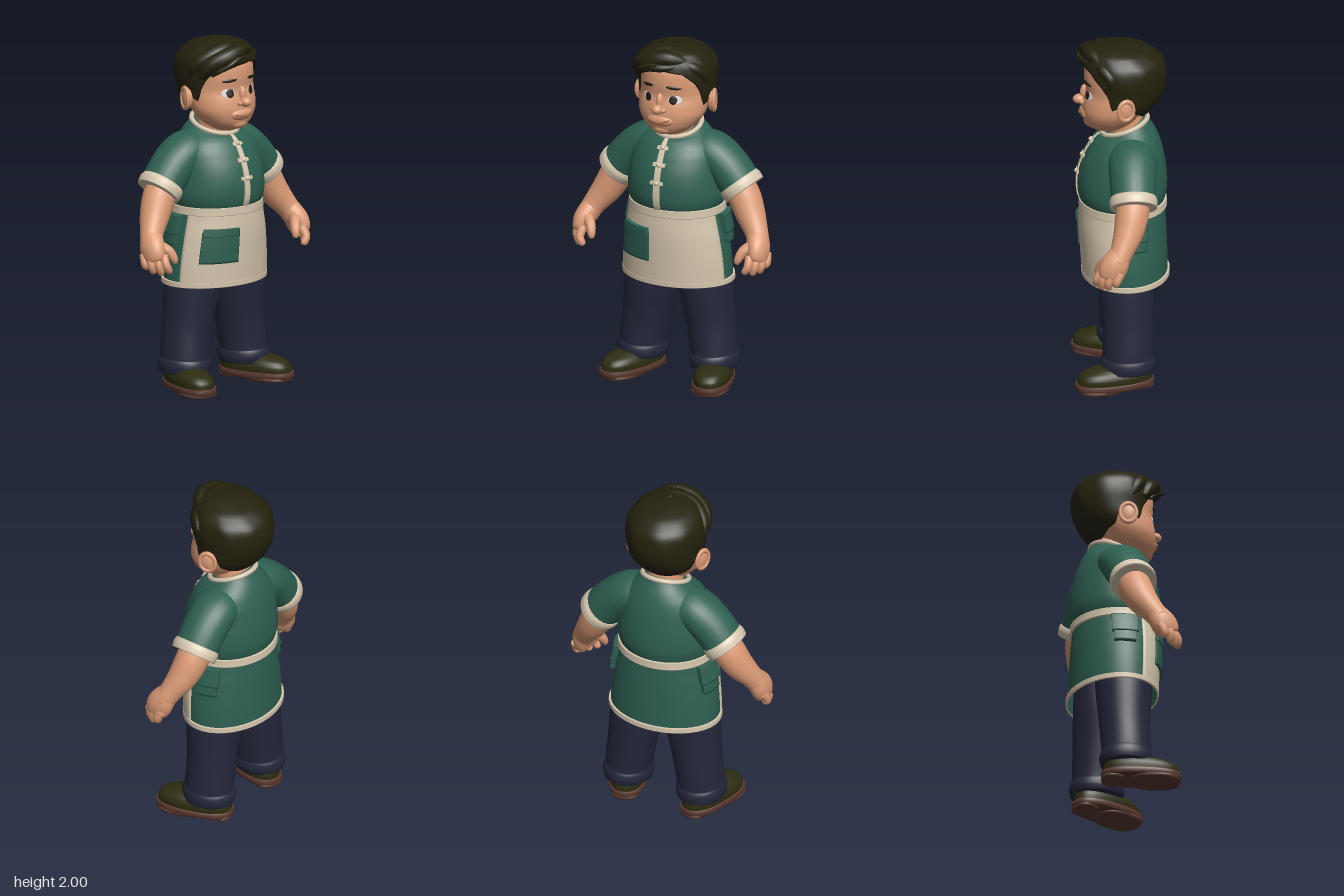
import * as THREE from 'three';
import { mergeVertices } from 'three/addons/utils/BufferGeometryUtils.js';

const { PI, sin, cos, sqrt, abs, sign, min, max } = Math;
const clamp = (x) => min(1, max(0, x));

// Catmull-Rom blend of number rows between row i and i + 1
function blend(rows, i, f) {
  const at = (k) => rows[min(rows.length - 1, max(0, k))];
  const [a, b, c, d] = [at(i - 1), at(i), at(i + 1), at(i + 2)];
  return b.map((q, k) => q + 0.5 * f * (c[k] - a[k]
    + f * (2 * a[k] - 5 * q + 4 * c[k] - d[k] + f * (3 * (q - c[k]) + d[k] - a[k]))));
}

// Smooth surface from a rule (u, v in 0..1) -> [x, y, z]
function grid(nu, nv, rule) {
  const pos = [], idx = [], w = nu + 1;
  for (let j = 0; j <= nv; j++) for (let i = 0; i <= nu; i++) pos.push(...rule(i / nu, j / nv, j));
  for (let j = 0; j < nv; j++) for (let i = 0; i < nu; i++) {
    const a = j * w + i;
    idx.push(a, a + 1, a + w + 1, a, a + w + 1, a + w);
  }
  let g = new THREE.BufferGeometry();
  g.setAttribute('position', new THREE.Float32BufferAttribute(pos, 3));
  g.setIndex(idx);
  g = mergeVertices(g, 1e-5);
  g.computeVertexNormals();
  return g;
}

// Cross-section rows: [y, half width, front z, back z, tilt, squareness power]
function ringAt(rows, y) {
  let i = 0;
  while (i < rows.length - 2 && y > rows[i + 1][0]) i++;
  return blend(rows, i, clamp((y - rows[i][0]) / (rows[i + 1][0] - rows[i][0])));
}
function ringPoint(rows, y, a, off = 0, scale = 1) {
  const [, rx, zf, zb, tilt = 0, p = 1] = ringAt(rows, y);
  const sx = sign(sin(a)) * abs(sin(a)) ** p, cz = sign(cos(a)) * abs(cos(a)) ** p;
  return [(rx + off) * sx * scale, y - tilt * cz, (zf + zb) / 2 + ((zf - zb) / 2 + off) * cz * scale];
}
const frontZ = (rows, x, y) => {
  const [, rx, zf, zb] = ringAt(rows, y);
  return (zf + zb) / 2 + (zf - zb) / 2 * sqrt(max(0, 1 - (x / rx) ** 2));
};

// Closed upright body through cross-sections
function loft(rows, nv = 30) {
  const y0 = rows[0][0], y1 = rows[rows.length - 1][0];
  return grid(48, nv, (u, v, j) => {
    const s = j === 0 || j === nv ? 0 : j === 1 || j === nv - 1 ? 0.95 : 1;
    return ringPoint(rows, y0 + (y1 - y0) * clamp((j - 2) / (nv - 4)), (u * 2 - 1) * PI, 0, s);
  });
}

// Raised panel lying on a lofted body
function panel(rows, deg0, deg1, y0, y1, off) {
  const nu = 40, nv = 16, full = deg1 - deg0 >= 360;
  return grid(nu, nv, (u, v) => {
    const edge = v === 0 || v === 1 || (!full && (u === 0 || u === 1));
    const uu = full ? u : clamp((u * nu - 1) / (nu - 2)), vv = clamp((v * nv - 1) / (nv - 2));
    return ringPoint(rows, y0 + (y1 - y0) * vv, (deg0 + (deg1 - deg0) * uu) * PI / 180, edge ? 0 : off);
  });
}

// Thin oval lying on the front of a lofted body
function oval(rows, cx, cy, w, h, off, rot = 0) {
  return grid(24, 4, (u, v) => {
    const r = 1 - v, p = r * w * cos(u * 2 * PI), q = r * h * sin(u * 2 * PI);
    const x = cx + p * cos(rot) - q * sin(rot), y = cy + p * sin(rot) + q * cos(rot);
    return [x, y, frontZ(rows, x, y) + off * (1 - 0.6 * r ** 4)];
  });
}

// Tapered limb along rows [x, y, z, depth radius, side radius]
function limb(rows, nv = 22, nu = 24) {
  const n = rows.length - 1;
  const at = (t) => { const i = min(n - 1, Math.floor(t * n)); return blend(rows, i, t * n - i); };
  return grid(nu, nv, (u, v, j) => {
    const t = clamp((j - 2) / (nv - 4)), c = at(t), a = u * 2 * PI;
    const s = j === 0 || j === nv ? 0 : j === 1 || j === nv - 1 ? 0.92 : 1;
    const tan = new THREE.Vector3(...at(min(1, t + 0.01))).sub(new THREE.Vector3(...at(max(0, t - 0.01)))).normalize();
    const n1 = new THREE.Vector3(0, 0, 1).addScaledVector(tan, -tan.z).normalize();
    const n2 = tan.clone().cross(n1);
    return new THREE.Vector3(...c).addScaledVector(n1, cos(a) * c[3] * s)
      .addScaledVector(n2, sin(a) * (c[4] ?? c[3]) * s).toArray();
  });
}

const headRows = [[1.48, 0.06, 0.13, 0], [1.5, 0.105, 0.18, -0.04], [1.54, 0.152, 0.205, -0.09], [1.6, 0.19, 0.215, -0.13],
  [1.66, 0.2, 0.21, -0.17], [1.72, 0.2, 0.195, -0.2], [1.8, 0.2, 0.202, -0.22], [1.88, 0.185, 0.19, -0.2], [1.94, 0.12, 0.13, -0.13], [1.965, 0.02, 0.03, -0.02]];
const hairRows = [[1.55, 0.13, 0.12, -0.12], [1.6, 0.185, 0.2, -0.175], [1.66, 0.21, 0.215, -0.225], [1.74, 0.218, 0.215, -0.258],
  [1.82, 0.226, 0.218, -0.265], [1.9, 0.212, 0.208, -0.245], [1.96, 0.16, 0.18, -0.17], [1.988, 0.085, 0.13, -0.07], [1.998, 0.005, 0.04, 0.02]];
const hairEdge = [[0, 1.885], [35, 1.865], [55, 1.8], [66, 1.74], [74, 1.66], [83, 1.68], [92, 1.73], [103, 1.7], [115, 1.63], [150, 1.575], [180, 1.56]];
const torsoRows = [[1.04, 0.262, 0.215, -0.245, 0], [1.07, 0.275, 0.23, -0.255, 0], [1.12, 0.285, 0.24, -0.265, 0], [1.2, 0.28, 0.238, -0.265, 0],
  [1.28, 0.27, 0.22, -0.255, 0], [1.36, 0.255, 0.185, -0.24, 0], [1.42, 0.225, 0.15, -0.22, 0.005], [1.46, 0.18, 0.125, -0.195, 0.02], [1.5, 0.132, 0.1, -0.155, 0.045]];
const skirtRows = [[0.605, 0.322, 0.205, -0.268], [0.75, 0.314, 0.214, -0.266], [0.9, 0.293, 0.222, -0.26], [1, 0.272, 0.22, -0.253], [1.06, 0.266, 0.218, -0.25]];

export function createModel() {
  const model = new THREE.Group();
  const mat = (name, color, side = THREE.FrontSide) => {
    const m = new THREE.MeshStandardMaterial({ color, side });
    m.name = name;
    return m;
  };
  const skin = mat('skin', 0xdb9b76), green = mat('green cloth', 0x2e6051, THREE.DoubleSide);
  const cream = mat('cream cloth', 0xd6c7ae, THREE.DoubleSide), navy = mat('navy cloth', 0x25273b);
  const hair = mat('dark hair', 0x24210d, THREE.DoubleSide), leather = mat('olive leather', 0x2d2c11);
  const rubber = mat('brown sole', 0x58382f), white = mat('eye white', 0xe4e2de);
  const iris = mat('iris', 0x2a1a10), lip = mat('lip line', 0xa5664c);
  const add = (name, geo, material, parent = model) => {
    const m = new THREE.Mesh(geo, material);
    m.name = name;
    parent.add(m);
    return m;
  };
  const ball = (name, material, p, r) => {
    const m = add(name, new THREE.SphereGeometry(1, 24, 16), material);
    m.position.set(...p);
    m.scale.set(...r);
    return m;
  };

  // Head and face
  add('head', loft(headRows, 40), skin);
  add('neck', limb([[0, 1.4, -0.05, 0.1], [0, 1.56, -0.02, 0.105]]), skin);
  ball('noseBridge', skin, [0, 1.695, 0.197], [0.022, 0.05, 0.028]);
  ball('noseTip', skin, [0, 1.657, 0.228], [0.032, 0.028, 0.037]);
  ball('muzzle', skin, [0, 1.585, 0.185], [0.085, 0.04, 0.042]);
  ball('chin', skin, [0, 1.53, 0.17], [0.06, 0.035, 0.035]);
  const smile = [[-0.06, 1.585, 0.217], [-0.02, 1.578, 0.228], [0.025, 1.58, 0.227], [0.065, 1.596, 0.213]];
  add('mouth', limb(smile.map((p) => [...p, 0.004]), 16, 8), lip);

  // Hair cap with a shaped lower edge
  add('hairCap', grid(96, 28, (u, v, j) => {
    const deg = abs(u * 2 - 1) * 180, a = (u * 2 - 1) * PI;
    const k = hairEdge.findIndex((e, i) => i > 0 && deg <= e[0] + 1e-6);
    const [d0, e0] = hairEdge[k - 1], [d1, e1] = hairEdge[k];
    const edge = e0 + (e1 - e0) * (deg - d0) / (d1 - d0), t = clamp((j - 1) / 27);
    return ringPoint(hairRows, edge + (1.998 - edge) * sin(t * PI / 2), a, 0, (j === 0 ? 0.9 : 1) + 0.012 * sin(9 * a + 5 * t) * t * (1 - t) * 3);
  }), hair);
  [
    [[0.13, 1.91, 0.1, 0.03], [0.04, 1.945, 0.165, 0.042], [-0.08, 1.92, 0.175, 0.05], [-0.17, 1.87, 0.12, 0.045], [-0.2, 1.8, 0.08, 0.02]],
    [[0.1, 1.94, 0.04, 0.03], [0, 1.952, 0.1, 0.045], [-0.11, 1.925, 0.1, 0.05], [-0.195, 1.87, 0.04, 0.04], [-0.205, 1.79, 0, 0.02]],
    [[0.09, 1.905, 0.165, 0.012], [0.02, 1.9, 0.21, 0.022], [-0.06, 1.895, 0.213, 0.026], [-0.14, 1.85, 0.165, 0.02], [-0.165, 1.81, 0.13, 0.006]],
    [[-0.005, 1.92, 0.232, 0.008], [-0.06, 1.91, 0.232, 0.014], [-0.11, 1.885, 0.225, 0.014], [-0.165, 1.845, 0.19, 0.006]],
    [[0.1, 1.915, 0.13, 0.02], [0.155, 1.89, 0.1, 0.035], [0.192, 1.85, 0.06, 0.033], [0.2, 1.79, 0.05, 0.015]],
  ].forEach((rows, i) => add('hairLock' + (i + 1), limb(rows, 26, 16), hair));

  // Shirt body, collar and front fastening
  add('shirtBody', loft(torsoRows, 40), green);
  const collar = Array.from({ length: 40 }, (_, i) => new THREE.Vector3(...ringPoint(torsoRows, 1.5, i / 40 * 2 * PI)));
  add('collarTrim', new THREE.TubeGeometry(new THREE.CatmullRomCurve3(collar, true), 80, 0.014, 8, true), cream);
  add('placket', panel(torsoRows, -3.8, 3.8, 1.06, 1.495, 0.008), cream);
  for (const y of [1.22, 1.32, 1.41]) {
    add('buttonLoop', panel(torsoRows, -8, 8, y - 0.009, y + 0.009, 0.012), cream);
    ball('button', cream, [0, y, frontZ(torsoRows, 0, y) + 0.01], [0.014, 0.014, 0.012]);
  }

  // Apron skirt, front panel, trims and pocket
  add('skirt', grid(64, 20, (u, v) => ringPoint(skirtRows, 0.605 + 0.455 * v, (u * 2 - 1) * PI)), green);
  add('apronFront', panel(skirtRows, -76, 76, 0.605, 1.05, 0.01), cream);
  add('waistband', panel(skirtRows, -180, 180, 1.015, 1.06, 0.013), cream);
  add('hem', panel(skirtRows, -180, 180, 0.603, 0.632, 0.012), cream);
  add('pocket', panel(skirtRows, -53, -10, 0.745, 0.925, 0.022), green);
  add('pocketFlap', panel(skirtRows, -52, -11, 0.9, 0.942, 0.03), green);

  for (const s of [1, -1]) {
    const side = s > 0 ? 'left' : 'right';
    const put = (name, geo, material, parent) => add(side + name, geo, material, parent);
    const part = (name, rows, material, nv, nu) => put(name, limb(rows.map(([x, ...r]) => [s * x, ...r]), nv, nu), material);

    // Eye, brow and ear
    put('EyeWhite', oval(headRows, s * 0.085, 1.712, 0.036, 0.025, 0.006), white);
    put('Iris', oval(headRows, s * 0.079, 1.711, 0.024, 0.025, 0.009), iris);
    put('Brow', oval(headRows, s * 0.08, 1.783, 0.04, 0.01, 0.009, -s * 0.12), hair);
    ball(side + 'Ear', skin, [s * 0.215, 1.67, -0.02], [0.026, 0.062, 0.048]).rotation.y = s * 0.35;
    const rim = put('EarRim', new THREE.TorusGeometry(0.045, 0.012, 8, 24), skin);
    rim.position.set(s * 0.228, 1.672, -0.025);
    rim.rotation.y = PI / 2 + s * 0.35;
    rim.scale.y = 1.25;
    ball(side + 'Nostril', skin, [s * 0.026, 1.65, 0.213], [0.018, 0.016, 0.02]);

    // Sleeve, cuff and arm
    part('Sleeve', [[0.06, 1.375, -0.05, 0.11, 0.08], [0.14, 1.37, -0.055, 0.125, 0.105], [0.22, 1.345, -0.06, 0.135, 0.115], [0.31, 1.265, -0.06, 0.13, 0.12], [0.39, 1.17, -0.06, 0.125, 0.115]], green);
    part('SleeveCuff', [[0.363, 1.202, -0.06, 0.128, 0.119], [0.38, 1.182, -0.06, 0.136, 0.126], [0.404, 1.154, -0.06, 0.132, 0.122]], cream, 14, 32);
    part('Arm', [[0.3, 1.25, -0.06, 0.09], [0.39, 1.14, -0.055, 0.095], [0.455, 1.03, -0.03, 0.085], [0.515, 0.94, 0.01, 0.066], [0.545, 0.88, 0.04, 0.062]], skin);

    // Hand
    part('Palm', [[0.52, 0.935, 0.015, 0.06, 0.06], [0.548, 0.875, 0.05, 0.078, 0.06], [0.557, 0.82, 0.075, 0.074, 0.052], [0.558, 0.795, 0.085, 0.055, 0.04]], skin);
    [[0.528, 0.135, 0.515, 0.738, 0.155], [0.552, 0.105, 0.55, 0.73, 0.125], [0.573, 0.075, 0.575, 0.735, 0.088], [0.585, 0.035, 0.585, 0.755, 0.045]]
      .forEach(([x, z, tx, ty, tz], i) => part('Finger' + (i + 1), [[x, 0.835, z - 0.015, 0.026], [(x + tx) / 2 + 0.012, 0.785, (z + tz) / 2 + 0.005, 0.024], [tx, ty + 0.012, tz, 0.02], [tx - 0.005, ty, tz, 0.011]], skin, 16, 12));
    part('Thumb', [[0.53, 0.89, 0.07, 0.034], [0.485, 0.855, 0.115, 0.03], [0.465, 0.81, 0.14, 0.023], [0.46, 0.785, 0.145, 0.012]], skin, 16, 12);

    // Side pouch on the skirt
    put('SidePouch', panel(skirtRows, s > 0 ? 88 : -116, s > 0 ? 116 : -88, 0.84, 1.0, 0.026), green);
    put('PouchFlap', panel(skirtRows, s > 0 ? 86 : -118, s > 0 ? 118 : -86, 0.9, 1.01, 0.034), green);

    // Trouser leg and turn-up
    part('TrouserLeg', [[0.226, 0.1, -0.035, 0.148, 0.13], [0.222, 0.2, -0.035, 0.142, 0.134], [0.2, 0.36, -0.037, 0.144, 0.14], [0.168, 0.6, -0.03, 0.16, 0.155], [0.15, 0.8, -0.03, 0.16, 0.14]], navy, 24, 36);
    part('TurnUp', [[0.228, 0.1, -0.035, 0.15, 0.134], [0.227, 0.13, -0.035, 0.157, 0.141], [0.225, 0.16, -0.035, 0.154, 0.139], [0.224, 0.178, -0.035, 0.145, 0.133]], navy, 14, 36);

    // Shoe, turned outward
    const shoe = new THREE.Group();
    shoe.name = side + 'Shoe';
    shoe.position.x = s * 0.245;
    shoe.rotation.y = s * 0.29;
    model.add(shoe);
    put('ShoeUpper', loft([[0.035, 0.102, 0.258, -0.175, 0, 0.85], [0.08, 0.104, 0.255, -0.172, 0, 0.85], [0.11, 0.092, 0.225, -0.16, 0, 0.85], [0.132, 0.07, 0.165, -0.14, 0, 0.9], [0.145, 0.04, 0.1, -0.1, 0, 1]]), leather, shoe);
    for (const [name, y0, y1, zf, zb, w] of [['Sole', 0.014, 0.05, 0.272, -0.185, 0.112], ['SoleBall', 0, 0.02, 0.262, -0.02, 0.106], ['Heel', 0, 0.02, -0.05, -0.183, 0.078]])
      put(name, loft([[y0, w - 0.004, zf - 0.004, zb + 0.004, 0, 0.8], [(y0 + y1) / 2, w, zf, zb, 0, 0.8], [y1, w - 0.003, zf - 0.003, zb + 0.003, 0, 0.8]], 10), rubber, shoe);
  }
  return model;
}
